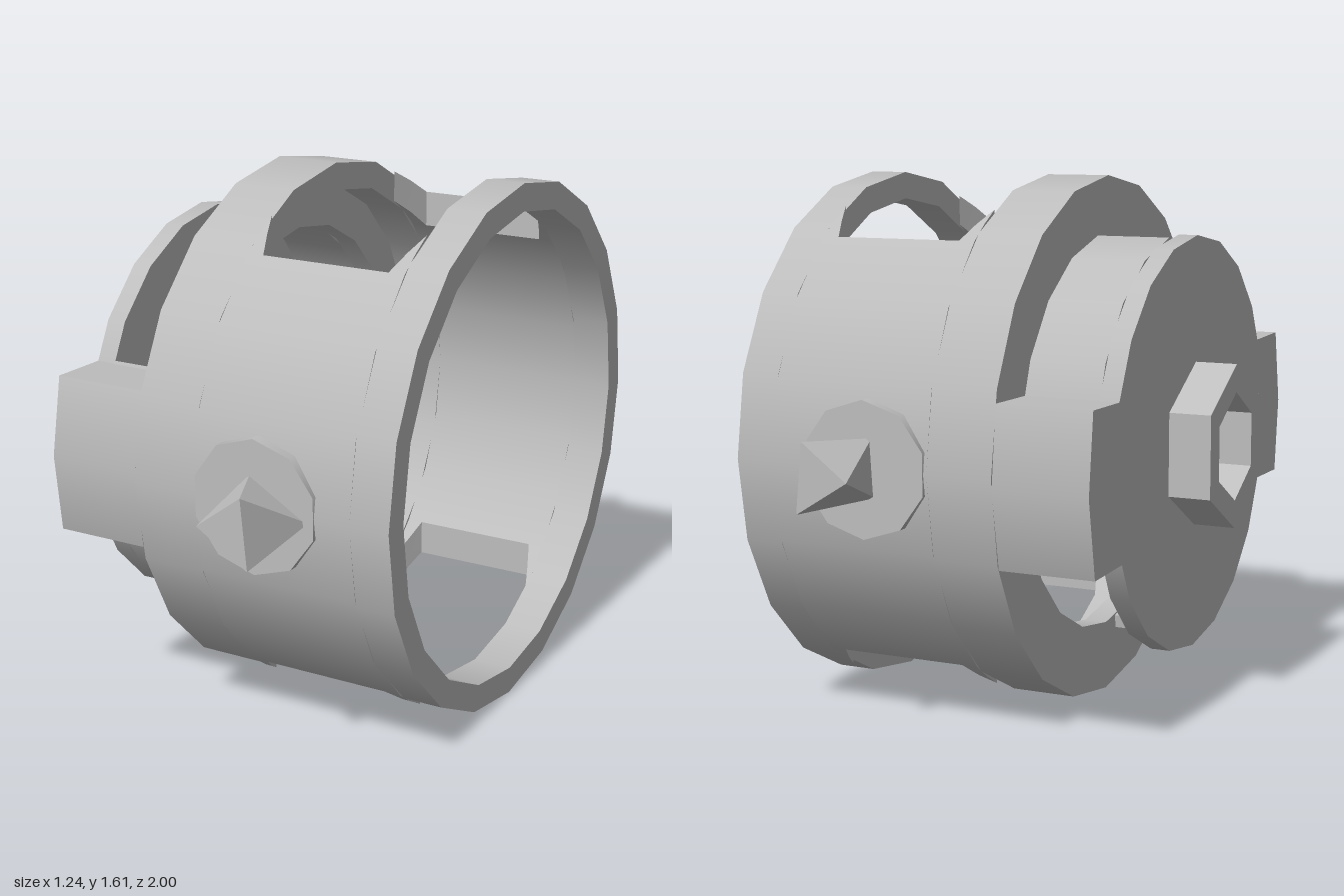
import * as THREE from 'three';
import { ConvexGeometry } from 'three/addons/geometries/ConvexGeometry.js';

const AXIS_Y = 0.81; // height of the horizontal axis, which runs along x
const deg = Math.PI / 180;
const lerp = THREE.MathUtils.lerp;

// Sweeps a rectangle (x from a to b, radius from r0 to r1) around the x axis.
// Angles are in degrees from the top towards +z; inner gives separate angles
// for the inner radius; a and b may be functions of the position 0..1 on the arc.
function arcBand({ a, b, r0, r1, from = 0, to = 360, inner = [from, to], n, flat = false }) {
  const steps = n ?? Math.max(1, Math.round((to - from) / 18));
  const at = (v, t) => (typeof v === 'function' ? v(t) : v);
  const corner = (k, t) => {
    const outer = k > 1;
    const r = outer ? r1 : r0;
    const ang = (outer ? lerp(from, to, t) : lerp(inner[0], inner[1], t)) * deg;
    return [at(k === 0 || k === 3 ? a : b, t), r * Math.cos(ang), r * Math.sin(ang)];
  };
  const pos = [], idx = [], radial = [];
  for (let k = 0; k < 4; k++) {
    const base = pos.length / 3;
    for (let i = 0; i <= steps; i++) {
      for (const c of [k, (k + 1) % 4]) {
        pos.push(...corner(c, i / steps));
        radial.push(k === 2 ? 1 : k === 0 ? -1 : 0);
      }
      if (i < steps) {
        const p = base + i * 2;
        idx.push(p, p + 1, p + 2, p + 1, p + 3, p + 2);
      }
    }
  }
  if (to - from < 360) {
    for (const t of [0, 1]) {
      const p = pos.length / 3;
      for (let k = 0; k < 4; k++) {
        pos.push(...corner(k, t));
        radial.push(0);
      }
      if (t) idx.push(p, p + 1, p + 2, p, p + 2, p + 3);
      else idx.push(p, p + 2, p + 1, p, p + 3, p + 2);
    }
  }
  let geo = new THREE.BufferGeometry();
  geo.setAttribute('position', new THREE.Float32BufferAttribute(pos, 3));
  geo.setIndex(idx);
  if (flat) geo = geo.toNonIndexed();
  geo.computeVertexNormals();
  if (!flat) {
    // round normals on the inner and outer walls
    radial.forEach((s, i) => {
      if (!s) return;
      const y = pos[i * 3 + 1], z = pos[i * 3 + 2], l = Math.hypot(y, z);
      geo.attributes.normal.setXYZ(i, 0, (s * y) / l, (s * z) / l);
    });
  }
  return geo;
}

export function createModel() {
  const model = new THREE.Group();
  model.name = 'slottedHousing';
  const grey = new THREE.MeshStandardMaterial({ color: 0xbdbdbd });
  grey.name = 'plain grey';

  const add = (name, geo, y = AXIS_Y) => {
    const mesh = new THREE.Mesh(geo, grey);
    mesh.name = name;
    mesh.position.y = y;
    model.add(mesh);
    return mesh;
  };
  const band = (name, opts) => add(name, arcBand(opts));

  // Main shell: rear ring, open front rim and a shoulder plate inside
  const shell = { r0: 0.72, r1: 0.803 };
  band('shellRearRing', { ...shell, a: -0.2, b: 0 });
  band('shellRim', { ...shell, a: 0.5, b: 0.62 });
  band('shoulderPlate', { a: -0.2, b: -0.13, r0: 0.59, r1: 0.73 });

  // Shell sides, leaving a window at top and bottom with upright edges
  const cutOut = 38.5, cutIn = 44;
  for (const turn of [0, 180]) {
    band('shellSide', {
      ...shell, a: 0, b: 0.5,
      from: turn + cutOut, to: turn + 180 - cutOut,
      inner: [turn + cutIn, turn + 180 - cutIn],
    });
    // Bevelled window corners
    for (const side of [-1, 1]) {
      const near = [27.5, 31], far = [cutOut, cutIn];
      const range = (k) => (side > 0
        ? [turn + near[k], turn + far[k]]
        : [turn - far[k], turn - near[k]]);
      const [from, to] = range(0);
      const grow = (t) => 0.05 * (side > 0 ? t : 1 - t);
      const common = { ...shell, from, to, inner: range(1), n: 2 };
      band('windowCornerRear', { ...common, a: 0, b: grow });
      band('windowCornerFront', { ...common, a: (t) => 0.5 - grow(t), b: 0.5 });
    }
  }

  // Rear drum: end plate, two wall arcs with a slot after each, and two lugs
  band('endPlate', { a: -0.49, b: -0.43, r0: 0.19, r1: 0.63 });
  for (const turn of [0, 180]) {
    band('drumWall', { a: -0.43, b: -0.2, r0: 0.59, r1: 0.63, from: turn + 65, to: turn + 173 });
    band('lug', {
      a: -0.49, b: -0.2, r0: 0.6, r1: 0.8,
      from: turn + 71, to: turn + 105.2, inner: [turn + 64.8, turn + 110.1],
    });
  }

  // Six-sided boss with a through hole
  band('hexBoss', { a: -0.62, b: -0.428, r0: 0.165, r1: 0.25, n: 6, flat: true });

  // Faceted pins on flat pads, front and back
  const pinPoints = [
    [0.14, 0.81, 1], [0.28, 0.915, 1], [0.3, 0.71, 1],
    [0.18, 0.9, 0.79], [0.365, 0.79, 0.79], [0.17, 0.73, 0.79],
  ];
  for (const s of [1, -1]) {
    const pts = pinPoints.map(([x, y, z]) => new THREE.Vector3(x, y, z * s));
    add(s > 0 ? 'frontPin' : 'backPin', new ConvexGeometry(pts), 0);
    const pad = new THREE.CylinderGeometry(0.2, 0.2, 0.06, 10);
    pad.rotateX(Math.PI / 2).translate(0.2, 0, s * 0.778);
    add(s > 0 ? 'frontPad' : 'backPad', pad);
  }
  return model;
}
